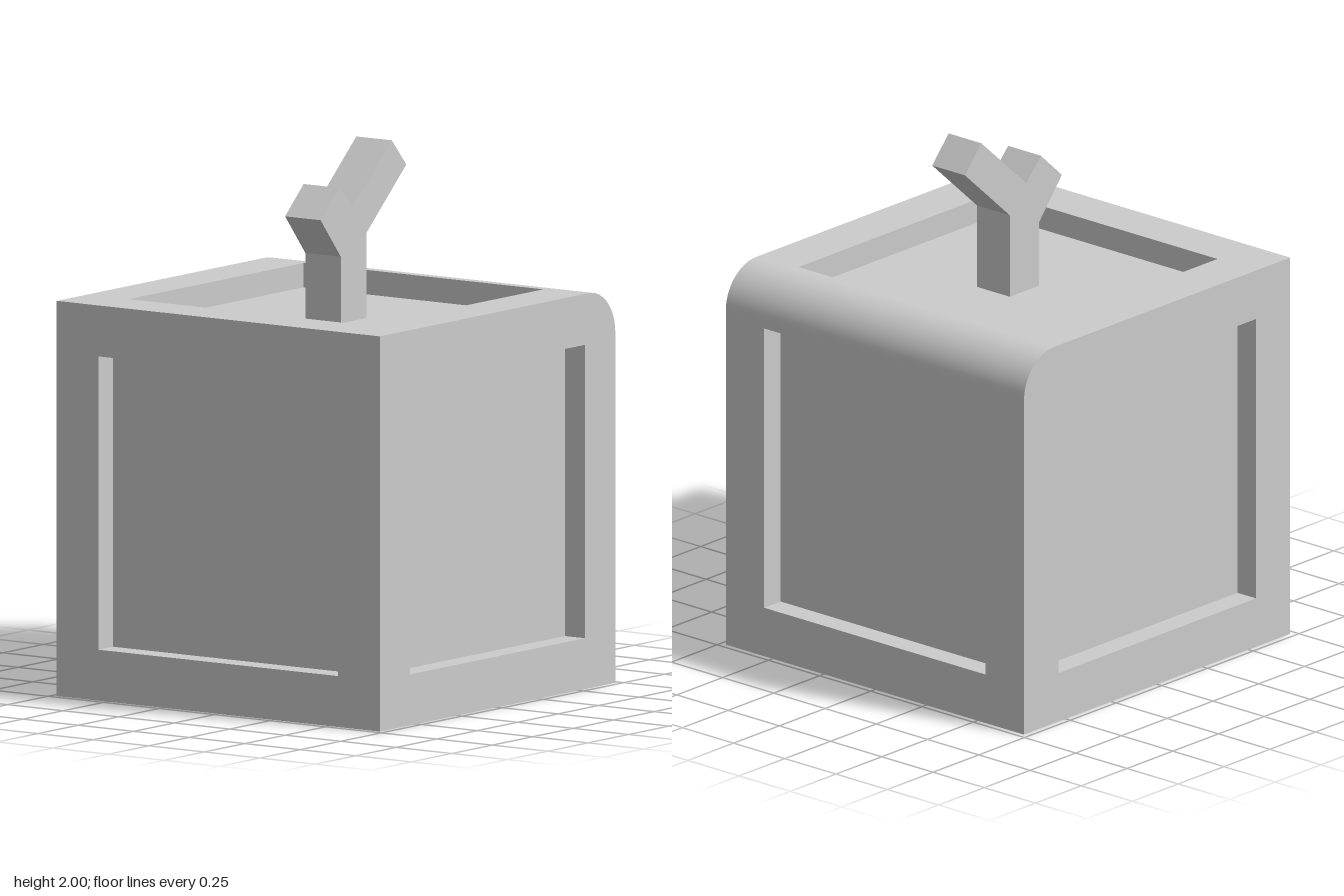
import * as THREE from 'three';

const H = 0.7275;      // half side of the block
const P = 0.54;        // half side of each recessed panel
const DEPTH = 0.09;    // panel recess
const R = 0.165;       // rounded back top edge

const material = new THREE.MeshStandardMaterial({ color: 0xcccccc });

function addMesh(parent, name, geometry) {
  const mesh = new THREE.Mesh(geometry, material);
  mesh.name = name;
  parent.add(mesh);
  return mesh;
}

// Square outline whose top can be lowered
function square(half, top = half) {
  return new THREE.Shape([
    new THREE.Vector2(-half, -half), new THREE.Vector2(half, -half),
    new THREE.Vector2(half, top), new THREE.Vector2(-half, top),
  ]);
}

// Square outline with one rounded upper corner, on the side given by s
function roundedSquare(s) {
  const shape = new THREE.Shape();
  shape.moveTo(-s * H, -H);
  shape.lineTo(s * H, -H);
  shape.lineTo(s * H, H - R);
  if (s > 0) shape.absarc(H - R, H - R, R, 0, Math.PI / 2, false);
  else shape.absarc(R - H, H - R, R, Math.PI, Math.PI / 2, true);
  shape.lineTo(-s * H, H);
  shape.closePath();
  return shape;
}

// Inward-facing open box: the recess walls and floor
function trayGeometry() {
  const box = new THREE.BoxGeometry(2 * P, 2 * P, DEPTH);
  const index = Array.from(box.index.array);
  index.splice(24, 6);               // remove the open front
  box.setIndex(index.reverse());     // turn the faces inward
  box.clearGroups();
  const tray = box.toNonIndexed();
  tray.computeVertexNormals();
  return tray.translate(0, 0, H - DEPTH / 2);
}

// One side of the block: a flat frame around a recessed panel
function addSide(parent, name, outline, rx, ry) {
  const side = new THREE.Group();
  side.name = name;
  outline.holes.push(square(P));
  addMesh(side, name + 'Frame', new THREE.ShapeGeometry(outline, 16).translate(0, 0, H));
  addMesh(side, name + 'Recess', trayGeometry());
  side.rotation.set(rx, ry, 0);
  parent.add(side);
}

export function createModel() {
  const model = new THREE.Group();
  model.name = 'blockWithFork';

  // Block with six recessed panels
  const block = new THREE.Group();
  block.name = 'block';
  block.position.y = H;
  model.add(block);
  const q = Math.PI / 2;
  addSide(block, 'front', square(H), 0, 0);
  addSide(block, 'back', square(H, H - R), 0, Math.PI);
  addSide(block, 'left', roundedSquare(1), 0, q);
  addSide(block, 'right', roundedSquare(-1), 0, -q);
  addSide(block, 'top', square(H, H - R), -q, 0);
  addSide(block, 'bottom', square(H), q, 0);

  // Rounded edge between the top and the back
  const edge = new THREE.CylinderGeometry(R, R, 2 * H, 16, 1, true, q, q);
  edge.rotateZ(q).translate(0, H - R, R - H);
  addMesh(block, 'roundedEdge', edge);

  // Forked stem rising from the top recess, profile in (z, y)
  const profile = [
    [-0.08, 2 * H - DEPTH], [0.08, 2 * H - DEPTH], [0.08, 1.61], [0.205, 1.76],
    [0.09, 1.865], [0.01, 1.78], [-0.235, 2], [-0.325, 1.9], [-0.08, 1.68],
  ].map(([z, y]) => new THREE.Vector2(z, y));
  const fork = new THREE.ExtrudeGeometry(new THREE.Shape(profile), { depth: 0.16, bevelEnabled: false });
  fork.translate(0, 0, -0.08).rotateY(-q);
  addMesh(model, 'forkedStem', fork);

  return model;
}
